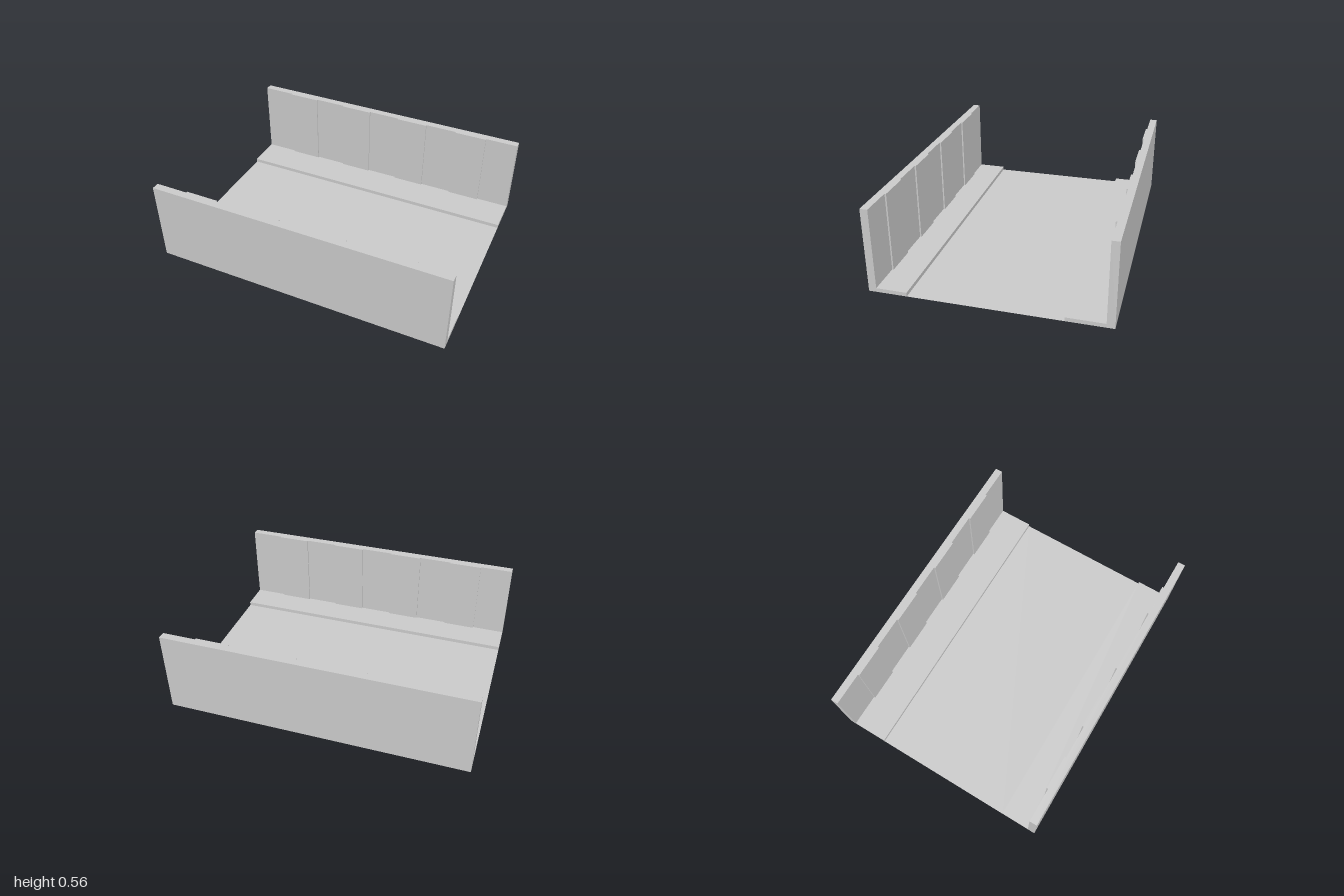
import * as THREE from 'three';

const OUTER = 0.753, RECESS = 0.703, PILASTER = 0.693;
const WALL_H = 0.557, KERB_H = 0.026, BAYS = 9;

const material = new THREE.MeshStandardMaterial({ color: 0xcccccc, flatShading: true });
const thin = new THREE.MeshStandardMaterial({ color: 0xcccccc, flatShading: true, side: THREE.DoubleSide });

// Solid wall whose inner face alternates between recessed and raised bays
function makeWall(side) {
  const shape = new THREE.Shape();
  shape.moveTo(1, -side * OUTER);
  shape.lineTo(-1, -side * OUTER);
  for (let i = 0; i < BAYS; i++) {
    const z = side * (i % 2 ? PILASTER : RECESS);
    shape.lineTo(-1 + (2 * i) / BAYS, -z);
    shape.lineTo(-1 + (2 * (i + 1)) / BAYS, -z);
  }
  const geometry = new THREE.ExtrudeGeometry(shape, { depth: WALL_H, bevelEnabled: false });
  geometry.rotateX(-Math.PI / 2);
  return new THREE.Mesh(geometry, material);
}

function addSheet(parent, name, width, height, position, rotX, rotY) {
  const mesh = new THREE.Mesh(new THREE.PlaneGeometry(width, height), thin);
  mesh.name = name;
  mesh.position.set(...position);
  mesh.rotation.set(rotX, rotY, 0);
  parent.add(mesh);
}

// Raised walkway, a thin shell open underneath
function makeWalkway(side, edge) {
  const group = new THREE.Group();
  const depth = RECESS - edge;
  const mid = (side * (RECESS + edge)) / 2;
  addSheet(group, 'walkwayTop', 2, depth, [0, KERB_H, mid], -Math.PI / 2, 0);
  addSheet(group, 'kerbFace', 2, KERB_H, [0, KERB_H / 2, side * edge], 0, side > 0 ? Math.PI : 0);
  for (const x of [-1, 1]) {
    addSheet(group, 'walkwayEnd', depth, KERB_H, [x, KERB_H / 2, mid], 0, (x * Math.PI) / 2);
  }
  return group;
}

export function createModel() {
  const model = new THREE.Group();
  model.name = 'streetSection';

  const frontEdge = 0.505, backEdge = 0.463;
  for (const [label, side, edge] of [['front', 1, frontEdge], ['back', -1, backEdge]]) {
    const wall = makeWall(side);
    wall.name = label + 'Wall';
    const walkway = makeWalkway(side, edge);
    walkway.name = label + 'Walkway';
    model.add(wall, walkway);
  }

  // Flat road between the two kerbs
  addSheet(model, 'road', 2, frontEdge + backEdge, [0, 0, (frontEdge - backEdge) / 2], -Math.PI / 2, 0);
  return model;
}
